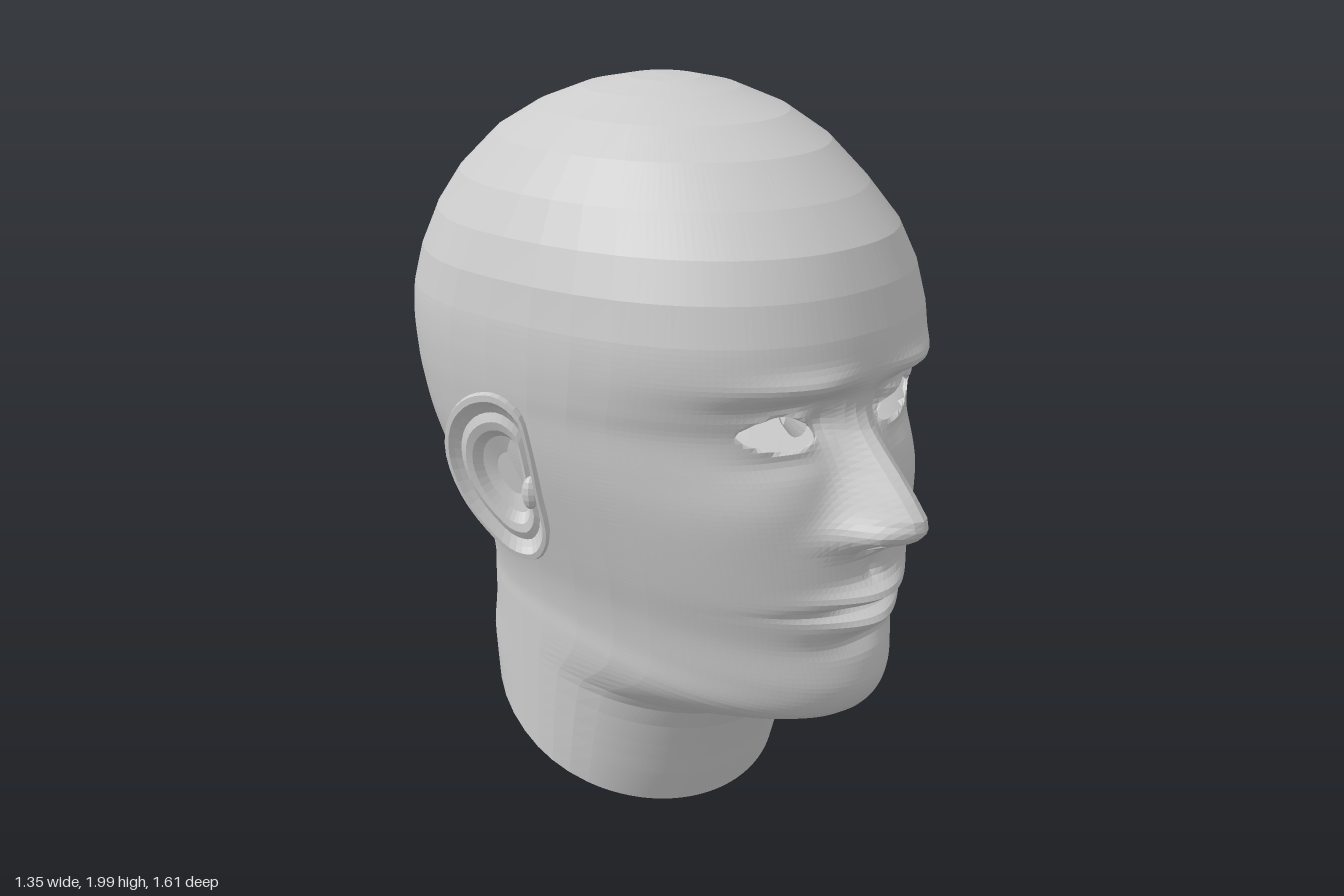
import * as THREE from 'three';

const grey = new THREE.MeshStandardMaterial({ color: 0xcccccc, side: THREE.DoubleSide, flatShading: true });

// Tilted slices of the head: front y, front z, back y, back z, half width, z of widest point, front squareness
const SLICES = [
  [1.995, 0, 1.995, -0.2, 0.09, -0.1, 2], [1.97, 0.1, 1.97, -0.32, 0.2, -0.12, 2],
  [1.92, 0.25, 1.92, -0.45, 0.31, -0.13, 2], [1.85, 0.37, 1.85, -0.57, 0.4, -0.15, 2.05],
  [1.75, 0.48, 1.75, -0.67, 0.48, -0.18, 2.1], [1.65, 0.565, 1.65, -0.735, 0.535, -0.2, 2.2],
  [1.55, 0.605, 1.55, -0.775, 0.57, -0.22, 2.3], [1.45, 0.63, 1.45, -0.8, 0.585, -0.24, 2.35],
  [1.36, 0.635, 1.36, -0.805, 0.588, -0.25, 2.35], [1.27, 0.6, 1.28, -0.8, 0.583, -0.25, 2.35],
  [1.2, 0.585, 1.22, -0.79, 0.575, -0.25, 2.3], [1.1, 0.6, 1.13, -0.77, 0.56, -0.24, 2.3],
  [1.0, 0.62, 1.06, -0.75, 0.54, -0.23, 2.3], [0.88, 0.645, 0.97, -0.71, 0.51, -0.22, 2.25],
  [0.75, 0.645, 0.87, -0.63, 0.475, -0.2, 2.2], [0.62, 0.63, 0.78, -0.585, 0.445, -0.2, 2.1],
  [0.5, 0.64, 0.71, -0.58, 0.43, -0.2, 2], [0.42, 0.595, 0.66, -0.58, 0.43, -0.2, 2],
].concat([
  [0.38, 0.5, 0.62, -0.58, 0.43, -0.2, 2], [0.35, 0.36, 0.59, -0.58, 0.43, -0.2, 2],
  [0.32, 0.26, 0.56, -0.585, 0.43, -0.2, 2], [0.2, 0.2, 0.5, -0.6, 0.43, -0.2, 2],
  [0.1, 0.165, 0.45, -0.59, 0.43, -0.2, 2], [0.01, 0.13, 0.4, -0.575, 0.43, -0.2, 2],
]);

// Nose: height, projection beyond the face, half width
const NOSE = [[1.34, 0, 0.06], [1.25, 0.015, 0.05], [1.2, 0.045, 0.05], [1.15, 0.085, 0.055], [1.1, 0.125, 0.062],
  [1.05, 0.16, 0.075], [1.0, 0.187, 0.09], [0.965, 0.182, 0.105], [0.935, 0.145, 0.112], [0.91, 0.08, 0.11],
  [0.89, 0.03, 0.1], [0.865, 0, 0.1]];

const bump = (x, y, cx, cy, sx, sy) => Math.exp(-(((x - cx) / sx) ** 2) - ((y - cy) / sy) ** 2);

function nose(x, y) {
  for (let i = 0; i < NOSE.length - 1; i++) {
    const [y0, d0, w0] = NOSE[i], [y1, d1, w1] = NOSE[i + 1];
    if (y <= y0 && y >= y1) {
      const t = (y0 - y) / (y0 - y1);
      return (d0 + (d1 - d0) * t) * Math.exp(-((x / (w0 + (w1 - w0) * t)) ** 2.3));
    }
  }
  return 0;
}

// Forward displacement of the face at |x|, y
function faceRelief(x, y) {
  return nose(x, y)
    + 0.025 * bump(x, y, 0.095, 0.955, 0.03, 0.03)    // nose wings
    - 0.05 * bump(x, y, 0.05, 0.912, 0.022, 0.016)    // nostrils
    + 0.03 * bump(x, y, 0.2, 1.34, 0.15, 0.035)       // brow
    - 0.025 * bump(x, y, 0.2, 1.285, 0.12, 0.025)     // lid crease
    - 0.045 * bump(x, y, 0.11, 1.23, 0.045, 0.06)     // inner socket
    - 0.015 * bump(x, y, 0.22, 1.14, 0.1, 0.035)      // under the eye
    + 0.02 * bump(x, y, 0.3, 1.02, 0.12, 0.1)         // cheek
    + 0.05 * bump(x, y, 0, 0.768, 0.14, 0.028)        // upper lip
    - 0.035 * bump(x, y, 0, 0.732, 0.17, 0.012)       // mouth line
    + 0.04 * bump(x, y, 0, 0.69, 0.12, 0.028)         // lower lip
    - 0.02 * bump(x, y, 0, 0.63, 0.12, 0.03)          // above the chin
    - 0.012 * bump(x, y, 0, 0.83, 0.025, 0.03);       // groove under the nose
}

// Almond radius of the eye opening: 1 on the lid edge
function eyeRadius(x, y) {
  const dx = (x - 0.225) / 0.108, dy = y - 1.203 - 0.15 * (x - 0.225);
  return (Math.abs(dx) ** 1.5 + Math.abs(dy / (dy > 0 ? 0.06 : 0.036)) ** 1.5) ** (1 / 1.5);
}

function headPoint(s, a) {
  const [yf, zf, yb, zb, w, zc, n] = s;
  const c = Math.cos(a), e = 2 / (c > 0 ? n : 2.05);
  let x = w * Math.abs(Math.sin(a)) ** e;
  let z = zc + (c > 0 ? zf - zc : zb - zc) * Math.abs(c) ** e;
  let y = yb + (yf - yb) * (z - zb) / (zf - zb);
  let r = 9;
  if (c > 0) {
    z += faceRelief(x, y) * THREE.MathUtils.smoothstep(c, 0.1, 0.4);
    r = eyeRadius(x, y);
    if (r < 1) {                                      // fold inner points into a lid wall
      const k = 1 / Math.max(r, 0.05), nx = 0.225 + (x - 0.225) * k;
      y = 1.203 + (y - 1.203) * k;
      z -= 0.45 * (nx - x) + 0.07 * (1 - r);
      x = nx;
    }
  }
  return { p: [Math.sin(a) < 0 ? -x : x, y, z], r };
}

function headGeometry() {
  // rows, dense across the face
  const rows = [];
  const at = i => SLICES[Math.min(Math.max(i, 0), SLICES.length - 1)];
  for (let i = 0; i < SLICES.length - 1; i++) {
    const y = at(i)[0];
    const steps = y > 1.5 ? 1 : y > 0.4 ? Math.ceil((y - at(i + 1)[0]) / 0.015) : 2;
    for (let k = 0; k < steps; k++) {
      const t = k / steps;
      rows.push(at(i).map((b, j) => {
        const p = at(i - 1)[j], c = at(i + 1)[j], d = at(i + 2)[j];
        return b + 0.5 * t * (c - p + t * (2 * p - 5 * b + 4 * c - d + t * (3 * (b - c) + d - p)));
      }));
    }
  }
  rows.push(at(99));
  // columns, dense in front
  const angles = [], F = Math.PI / 3;
  for (let i = 0; i < 68; i++) angles.push(-F + 2 * F * i / 68);
  for (let i = 0; i < 28; i++) angles.push(F + 4 * F * i / 28);
  const N = angles.length, pos = [0, 2, -0.1], rad = [9], idx = [];
  for (const s of rows) for (const a of angles) {
    const { p, r } = headPoint(s, a);
    pos.push(...p);
    rad.push(r);
  }
  for (let c = 0; c < N; c++) {
    idx.push(0, 1 + c, 1 + (c + 1) % N);
    for (let r = 0; r < rows.length - 1; r++) {
      const a = 1 + r * N + c, d = 1 + r * N + (c + 1) % N, b = a + N, e = d + N;
      if (Math.min(rad[a], rad[b], rad[d], rad[e]) > 0.55) idx.push(a, b, d, b, e, d);
    }
  }
  return indexed(pos, idx);
}

function indexed(pos, idx) {
  const g = new THREE.BufferGeometry();
  g.setAttribute('position', new THREE.Float32BufferAttribute(pos, 3));
  g.setIndex(idx);
  g.computeVertexNormals();
  return g;
}

// Ear: loops of one outline, from the back of the shell over the rim into the bowl
function earGeometry(side) {
  const outline = new THREE.CatmullRomCurve3([[-0.025, 1.13], [-0.045, 1.22], [-0.1, 1.265], [-0.16, 1.255],
    [-0.21, 1.2], [-0.228, 1.1], [-0.2, 0.98], [-0.14, 0.88], [-0.08, 0.82], [-0.03, 0.815], [0, 0.87], [-0.012, 1.0],
  ].map(([z, y]) => new THREE.Vector3(0, y, z)), true).getPoints(40).slice(0, 40);
  const loops = [[0.5, -0.09], [0.8, -0.04], [0.96, -0.012], [1, 0.004], [0.98, 0.02], [0.91, 0.022], [0.84, 0.008],
    [0.76, -0.004], [0.66, 0.006], [0.56, 0], [0.46, -0.03], [0.25, -0.045], [0.01, -0.045]];
  const pos = [], idx = [], N = outline.length;
  for (const [s, d] of loops) for (const p of outline) {
    const y = 1.03 + (p.y - 1.03) * s, z = -0.095 + (p.z + 0.095) * s;
    pos.push(side * (0.53 - 0.55 * z + 0.07 * (y - 1.04) + d * 0.87), y, z + d * 0.4);
  }
  for (let r = 0; r < loops.length - 1; r++) for (let c = 0; c < N; c++) {
    const a = r * N + c, b = r * N + (c + 1) % N;
    if (side > 0) idx.push(a, a + N, b, b, a + N, b + N);
    else idx.push(a, b, a + N, b, b + N, a + N);
  }
  return indexed(pos, idx);
}

export function createModel() {
  const model = new THREE.Group();
  const add = (name, geometry) => {
    const mesh = new THREE.Mesh(geometry, grey);
    mesh.name = name;
    model.add(mesh);
    return mesh;
  };
  add('headAndNeck', headGeometry());

  for (const [name, side] of [['left', 1], ['right', -1]]) {
    add(name + 'Ear', earGeometry(side));
    // small flap in front of the ear canal
    const flap = add(name + 'EarFlap', new THREE.SphereGeometry(1, 10, 8));
    flap.scale.set(0.025, 0.045, 0.022);
    flap.position.set(side * 0.548, 1.0, -0.035);
  }

  // hollow behind the lips, seen through the open neck
  const pocket = add('mouthPocket', new THREE.CylinderGeometry(0.16, 0.09, 0.25, 10, 2, true));
  pocket.rotation.x = Math.PI / 2;
  pocket.scale.z = 0.55;
  pocket.position.set(0, 0.73, 0.43);
  return model;
}
